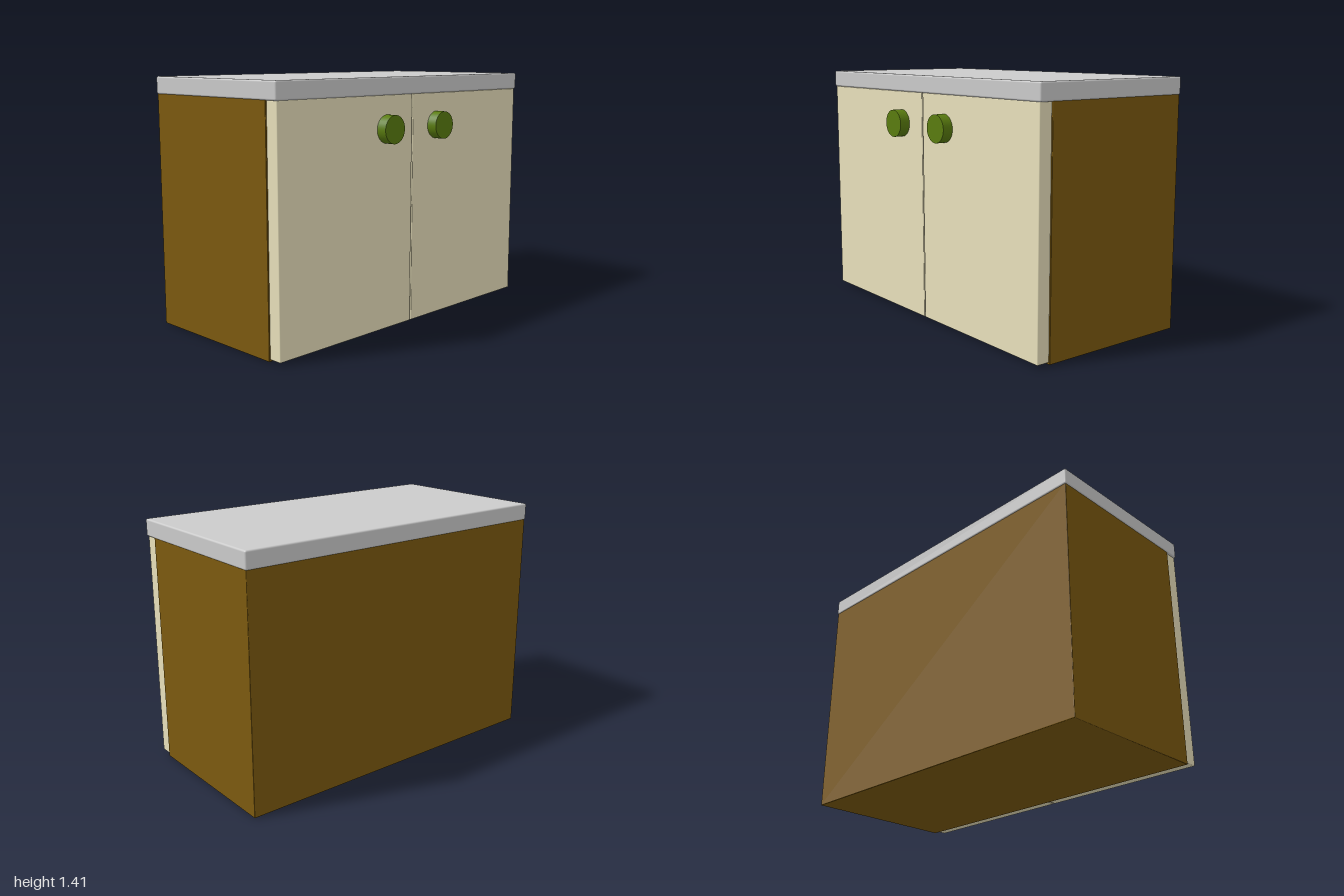
import * as THREE from 'three';
import { RoundedBoxGeometry } from 'three/addons/geometries/RoundedBoxGeometry.js';

const paint = (color) => new THREE.MeshStandardMaterial({ color });

export function createModel() {
  const model = new THREE.Group();
  model.name = 'cabinet';
  const wood = paint(0x7c5a0f);
  const cream = paint(0xe9e1bc);
  const green = paint(0x5a7c0f);
  const grey = paint(0xcccccc);

  const add = (name, geometry, material, x, y, z) => {
    const mesh = new THREE.Mesh(geometry, material);
    mesh.name = name;
    mesh.position.set(x, y, z);
    model.add(mesh);
    return mesh;
  };

  // Box given by its limits, with softly rounded edges
  const slab = (name, material, [x0, x1], [y0, y1], [z0, z1], radius) =>
    add(name, new RoundedBoxGeometry(x1 - x0, y1 - y0, z1 - z0, 3, radius), material,
      (x0 + x1) / 2, (y0 + y1) / 2, (z0 + z1) / 2);

  // Carcass and worktop
  slab('carcass', wood, [-0.995, 0.995], [0, 1.32], [-0.525, 0.392], 0.004);
  slab('worktop', grey, [-1, 1], [1.311, 1.408], [-0.53, 0.475], 0.01);

  // Mirrored doors, each with a round knob near the centre gap
  for (const [side, s] of [['left', 1], ['right', -1]]) {
    const span = [s * 0.003, s * 0.99].sort((a, b) => a - b);
    slab(`${side}Door`, cream, span, [0.012, 1.312], [0.392, 0.47], 0.005);

    const knob = new THREE.CylinderGeometry(0.078, 0.078, 0.065, 40);
    knob.rotateX(Math.PI / 2);
    add(`${side}Knob`, knob, green, s * 0.21, 1.129, 0.4975);
  }

  return model;
}
